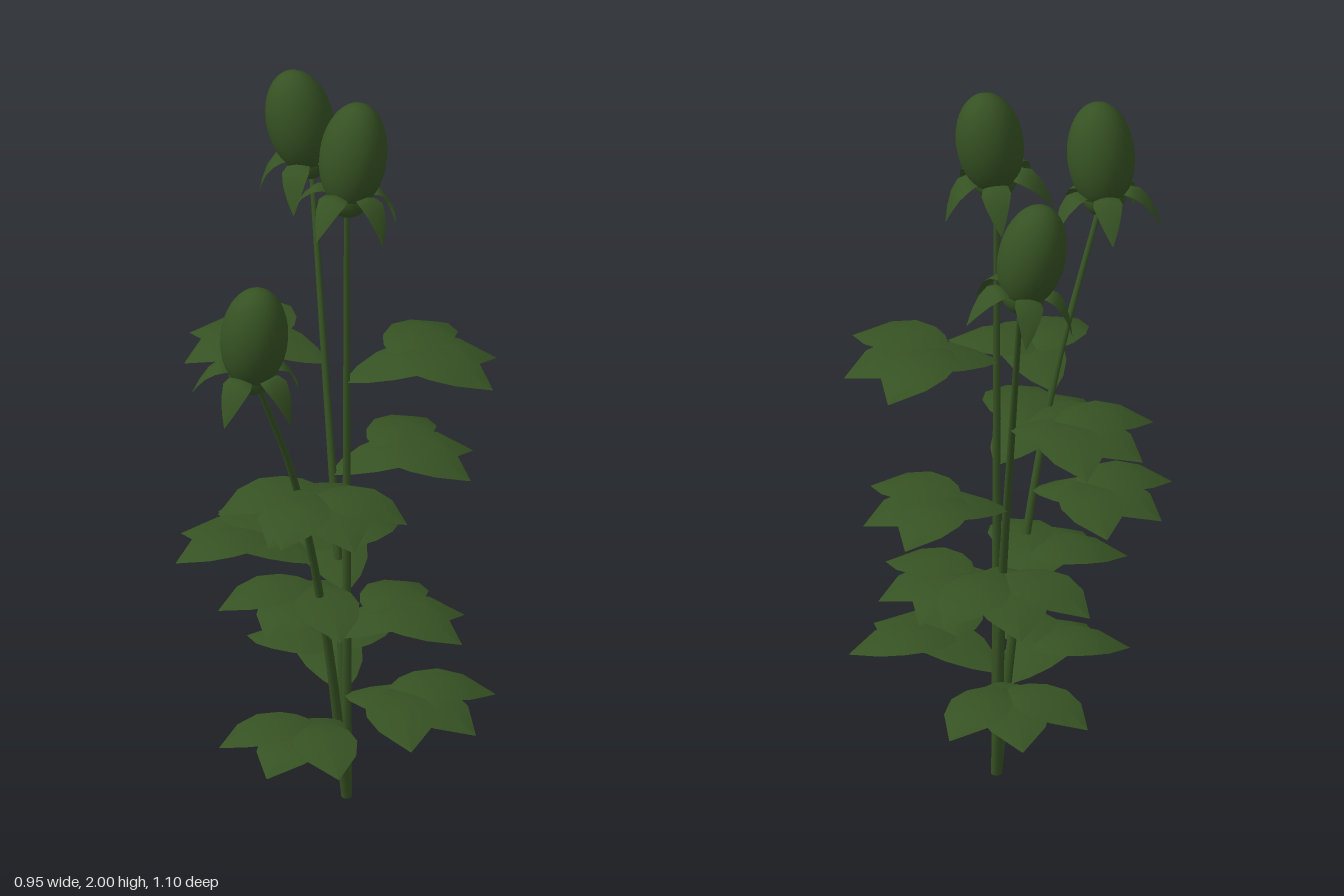
import * as THREE from 'three';

const green = new THREE.MeshStandardMaterial({ color: 0x365223, side: THREE.DoubleSide });
green.name = 'leaf green';

function mesh(name, geometry) {
  const m = new THREE.Mesh(geometry, green);
  m.name = name;
  return m;
}

// Folded blade along +x; stations are [along, height, halfWidth]
function blade(stations, fold) {
  const pos = [], index = [];
  stations.forEach(([x, y, w], i) => {
    for (const s of [-1, 0, 1]) pos.push(x, y - Math.abs(s) * w * fold, s * w);
    if (i === 0) return;
    const a = (i - 1) * 3, b = i * 3;
    for (const k of [0, 1]) {
      index.push(a + k, a + k + 1, b + k, a + k + 1, b + k + 1, b + k);
    }
  });
  const g = new THREE.BufferGeometry();
  g.setAttribute('position', new THREE.Float32BufferAttribute(pos, 3));
  g.setIndex(index);
  g.computeVertexNormals();
  return g;
}

const middleLeaflet = blade([
  [0, 0, 0.01], [0.04, 0.018, 0.045], [0.1, 0.037, 0.075], [0.18, 0.052, 0.09],
  [0.25, 0.055, 0.092], [0.31, 0.042, 0.072], [0.383, 0, 0.001],
], 0.18);
const sideLeaflet = blade([
  [0, 0, 0.02], [0.03, 0.009, 0.055], [0.07, 0.015, 0.077], [0.13, 0.015, 0.085],
  [0.19, 0, 0.066], [0.26, -0.038, 0.001],
], 0.18);
const sepalBlade = blade([
  [0.045, -0.098, 0.018], [0.065, -0.088, 0.033], [0.088, -0.093, 0.038],
  [0.112, -0.118, 0.03], [0.132, -0.155, 0.017], [0.147, -0.195, 0.001],
], 0.3);

// Three-part leaf pointing at the given heading (degrees from +x towards +z)
function leaf(point, heading, size) {
  const g = new THREE.Group();
  g.name = 'leaf';
  g.add(mesh('middleLeaflet', middleLeaflet));
  for (const s of [-1, 1]) {
    const side = mesh('sideLeaflet', sideLeaflet);
    side.position.set(0.13, 0.052, 0);
    side.rotation.y = s * 0.77;
    g.add(side);
  }
  g.position.copy(point);
  g.rotation.y = -THREE.MathUtils.degToRad(heading);
  g.scale.setScalar(size);
  return g;
}

// Stem tapering from the ground to the bud
function stem(curve) {
  const rings = 24, sides = 8;
  const geo = new THREE.TubeGeometry(curve, rings, 0.014, sides);
  const p = geo.attributes.position, v = new THREE.Vector3();
  for (let i = 0; i < p.count; i++) {
    const t = Math.floor(i / (sides + 1)) / rings;
    const c = curve.getPointAt(t);
    v.fromBufferAttribute(p, i).sub(c).multiplyScalar(1 - 0.5 * t).add(c);
    p.setXYZ(i, v.x, Math.max(0, v.y), v.z);
  }
  return mesh('stem', geo);
}

// Egg-shaped bud with its round base and five drooping sepals
function bud(center, axis, turn) {
  const g = new THREE.Group();
  g.name = 'bud';
  const body = mesh('budBody', new THREE.SphereGeometry(1, 28, 20));
  body.scale.set(0.087, 0.146, 0.087);
  const base = mesh('budBase', new THREE.SphereGeometry(0.058, 20, 14));
  base.position.y = -0.108;
  g.add(body, base);
  for (let i = 0; i < 5; i++) {
    const sepal = mesh('sepal', sepalBlade);
    sepal.rotation.y = -THREE.MathUtils.degToRad(turn + i * 72);
    g.add(sepal);
  }
  g.position.set(...center);
  g.quaternion.setFromUnitVectors(new THREE.Vector3(0, 1, 0), new THREE.Vector3(...axis).normalize());
  return g;
}

// Leaf headings turn by the golden angle from the lowest leaf upwards
const stalks = [
  {
    name: 'middleStalk', path: [[0.07, 0, -0.07], [0.07, 0.6, -0.07], [0.07, 1.2, -0.07], [0.07, 1.73, -0.07]],
    center: [0.075, 1.855, -0.092], axis: [0.03, 1, -0.16], turn: 85,
    heights: [0.3, 0.605, 0.91, 1.21], heading: 0, leafSize: 1.05,
  },
  {
    name: 'backStalk', path: [[0.07, 0, -0.07], [0.005, 0.58, -0.13], [-0.11, 1.15, -0.23], [-0.235, 1.63, -0.35]],
    center: [-0.26, 1.745, -0.337], axis: [-0.15, 1, 0.14], turn: -66,
    heights: [0.29, 0.58, 0.86, 1.14], heading: 222, leafSize: 0.99,
  },
  {
    name: 'frontStalk', path: [[0.07, 0, -0.07], [0.075, 0.52, 0.03], [0.09, 1.03, 0.19], [0.11, 1.45, 0.405]],
    center: [0.127, 1.574, 0.428], axis: [0.12, 1, 0.04], turn: 80,
    heights: [0.245, 0.51, 0.76, 1.01], heading: 84.5, leafSize: 0.97,
  },
];

export function createModel() {
  const model = new THREE.Group();
  model.name = 'buddingPlant';
  for (const s of stalks) {
    const g = new THREE.Group();
    g.name = s.name;
    const curve = new THREE.CatmullRomCurve3(s.path.map((p) => new THREE.Vector3(...p)));
    g.add(stem(curve), bud(s.center, s.axis, s.turn));
    s.heights.forEach((h, i) => {
      // Find the point on the stem at this height
      let lo = 0, hi = 1;
      for (let k = 0; k < 20; k++) {
        const mid = (lo + hi) / 2;
        if (curve.getPoint(mid).y < h) lo = mid; else hi = mid;
      }
      g.add(leaf(curve.getPoint(lo), s.heading - i * 137.5, s.leafSize));
    });
    model.add(g);
  }
  return model;
}
